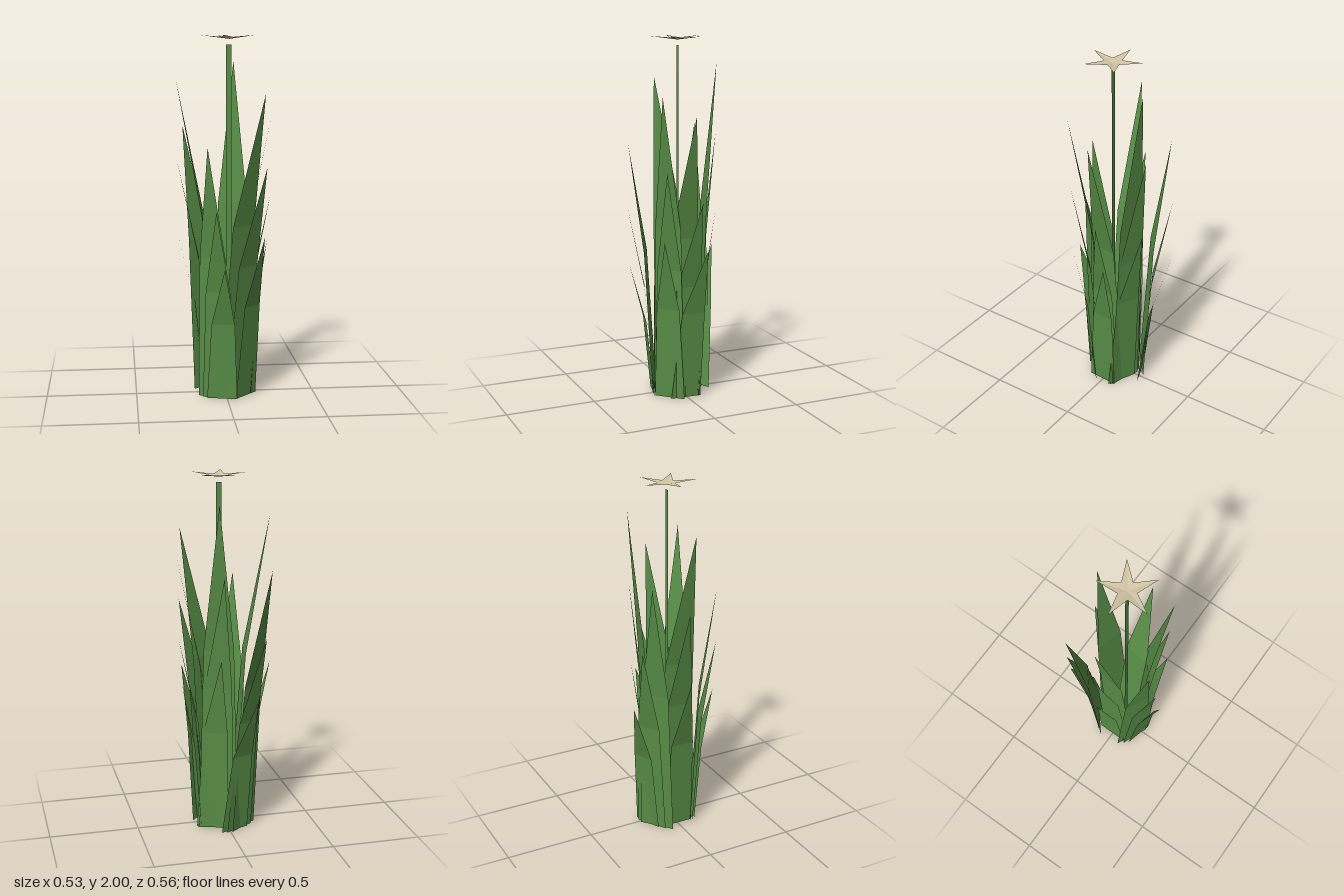
import * as THREE from 'three';

const leafGreen = new THREE.MeshStandardMaterial({ color: 0x5a9048, side: THREE.DoubleSide, flatShading: true });
leafGreen.name = 'leafGreen';
const petalCream = new THREE.MeshStandardMaterial({ color: 0xd2c6a4, side: THREE.DoubleSide, flatShading: true });
petalCream.name = 'petalCream';

// Six fans of leaves, tall to short: [tip x, tip z, height, base x, base z, facing in degrees from +x to +z]
const FANS = [
  [[0.265, 0, 1.59, 0.05, 0.01, 8], [0.262, -0.04, 1.12, 0.1, 0.01, 5], [0.25, -0.08, 0.86, 0.142, 0.005, 3]],
  [[0.205, 0.17, 1.69, 0.04, 0.055, 53], [0.218, 0.15, 1.29, 0.07, 0.07, 50], [0.205, 0.16, 0.91, 0.11, 0.09, 45]],
  [[-0.115, 0.24, 1.41, -0.065, 0.11, 118], [-0.07, 0.265, 1.07, -0.045, 0.125, 111], [-0.025, 0.275, 0.76, -0.027, 0.137, 104]],
  [[-0.27, 0.02, 1.77, -0.045, -0.005, 188], [-0.27, -0.01, 1.35, -0.08, 0, 184], [-0.27, 0, 0.94, -0.115, 0, 181]],
  [[-0.22, -0.21, 1.5, -0.088, -0.12, 231], [-0.18, -0.25, 1.14, -0.06, -0.138, 240], [-0.13, -0.28, 0.8, -0.03, -0.15, 250]],
  [[0.07, -0.207, 1.86, 0.052, -0.1, -77], [0.045, -0.215, 1.47, 0.07, -0.098, -70], [0.06, -0.207, 1.02, 0.085, -0.092, -65]],
];

function facetGeometry(points, index) {
  const geo = new THREE.BufferGeometry();
  geo.setAttribute('position', new THREE.Float32BufferAttribute(points.flat(), 3));
  geo.setIndex(index);
  const flat = geo.toNonIndexed();
  flat.computeVertexNormals();
  return flat;
}

// Flat leaf: tapering lower panel, fold, then a long pointed tip; taller leaves are wider
function leaf([tipX, tipZ, height, baseX, baseZ, facing]) {
  const a = THREE.MathUtils.degToRad(facing);
  const baseHalf = 0.068 + 0.022 * height;
  const foldHalf = baseHalf * 0.76;
  const foldX = THREE.MathUtils.lerp(baseX, tipX, 0.34);
  const foldZ = THREE.MathUtils.lerp(baseZ, tipZ, 0.34);
  const at = (x, y, z, side) => [x - side * Math.sin(a), y, z + side * Math.cos(a)];
  const foldY = height * 0.57;
  const points = [
    at(baseX, 0, baseZ, -baseHalf), at(baseX, 0, baseZ, baseHalf),
    at(foldX, foldY, foldZ, foldHalf), at(foldX, foldY, foldZ, -foldHalf),
    [tipX, height, tipZ],
  ];
  return new THREE.Mesh(facetGeometry(points, [0, 2, 1, 0, 3, 2, 3, 4, 2]), leafGreen);
}

// Five-pointed flower, cupped, with a valley along each petal
function flower() {
  const points = [[0, 1.98, 0]];
  const index = [];
  for (let i = 0; i < 10; i++) {
    const tip = i % 2 === 1;
    const r = tip ? 0.16 : 0.05;
    const a = (i * Math.PI) / 5;
    points.push([r * Math.cos(a), tip ? 2 : 1.99, r * Math.sin(a)]);
    index.push(0, ((i + 1) % 10) + 1, i + 1);
  }
  const mesh = new THREE.Mesh(facetGeometry(points, index), petalCream);
  mesh.name = 'starFlower';
  mesh.position.set(0.025, 0, 0.005);
  return mesh;
}

export function createModel() {
  const plant = new THREE.Group();
  plant.name = 'floweringPlant';

  FANS.forEach((fan, i) => {
    const group = new THREE.Group();
    group.name = 'leafFan' + (i + 1);
    fan.forEach((spec, tier) => {
      const mesh = leaf(spec);
      mesh.name = ['tallLeaf', 'middleLeaf', 'shortLeaf'][tier];
      group.add(mesh);
    });
    plant.add(group);
  });

  // Flat ribbon stem
  const stem = new THREE.Mesh(new THREE.PlaneGeometry(0.03, 1.95), leafGreen);
  stem.name = 'stem';
  stem.position.set(0.023, 0.975, 0.005);
  plant.add(stem, flower());

  return plant;
}
